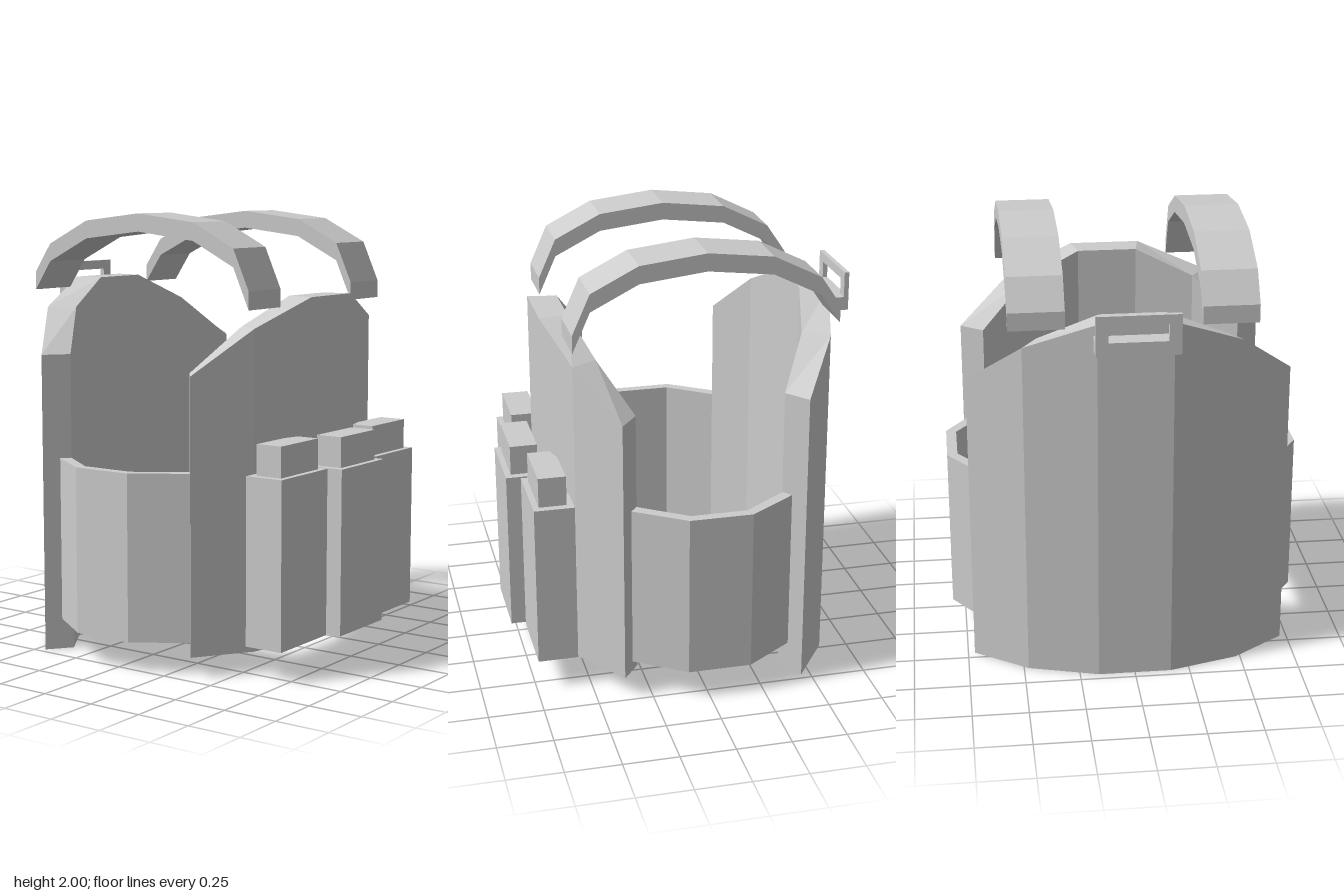
import * as THREE from 'three';

const fabric = new THREE.MeshStandardMaterial({ color: 0xcccccc, flatShading: true });
fabric.name = 'plainGrey';

// Upright wall lofted through stations [outerX, outerZ, innerX, innerZ, top, bottom]
function wallGeometry(stations) {
  const rings = stations.map(([xo, zo, xi, zi, top, bottom]) => [
    [xo, top, zo], [xo, bottom, zo], [xi, bottom, zi], [xi, top, zi],
  ]);
  const pos = [];
  const quad = (a, b, c, d) => pos.push(...a, ...b, ...c, ...a, ...c, ...d);
  for (let i = 0; i < rings.length - 1; i++) {
    for (let j = 0; j < 4; j++) {
      const k = (j + 1) % 4;
      quad(rings[i][j], rings[i][k], rings[i + 1][k], rings[i + 1][j]);
    }
  }
  quad(...[...rings[0]].reverse());
  quad(...rings[rings.length - 1]);
  const geo = new THREE.BufferGeometry();
  geo.setAttribute('position', new THREE.Float32BufferAttribute(pos, 3));
  geo.computeVertexNormals();
  return geo;
}

// Same stations seen from the other side of x = 0
const mirrorX = (s) => [...s].reverse().map(([xo, zo, xi, zi, t, b]) => [-xo, zo, -xi, zi, t, b]);

export function createModel() {
  const model = new THREE.Group();
  model.name = 'plateCarrierVest';
  const add = (name, geo, parent = model) => {
    const mesh = new THREE.Mesh(geo, fabric);
    mesh.name = name;
    parent.add(mesh);
    return mesh;
  };
  const box = (name, x0, x1, y0, y1, z0, z1, parent) =>
    add(name, new THREE.BoxGeometry(x1 - x0, y1 - y0, z1 - z0), parent)
      .position.set((x0 + x1) / 2, (y0 + y1) / 2, (z0 + z1) / 2);

  // Curved chest and back panels with sloping shoulders
  const frontHalf = [
    [0.165, 0.628, 0.14, 0.495, 1.637, 0.095],
    [0.48, 0.54, 0.41, 0.425, 1.515, 0.095],
    [0.72, 0.373, 0.615, 0.293, 1.32, 0.095],
  ];
  const backHalf = [
    [0.165, 0.712, 0.145, 0.578, 1.685, 0],
    [0.48, 0.623, 0.41, 0.51, 1.562, 0],
    [0.72, 0.457, 0.615, 0.375, 1.365, 0],
  ];
  add('frontPanel', wallGeometry([...mirrorX(frontHalf), ...frontHalf]));
  add('backPanel', wallGeometry([...mirrorX(backHalf), ...backHalf])).rotation.y = Math.PI;

  // Side bands joining the panels
  const band = [
    [0.657, 0.325, 0.617, 0.293, 0.89, 0.14],
    [0.81, 0.1, 0.763, 0.083, 0.89, 0.14],
    [0.81, -0.187, 0.763, -0.172, 0.89, 0.14],
    [0.657, -0.408, 0.615, -0.377, 0.89, 0.14],
  ];
  add('leftSideBand', wallGeometry(band));
  add('rightSideBand', wallGeometry(mirrorX(band)));

  // Arched shoulder straps: [z, y] along the upper edge, 0.08 thick
  const arch = [[0.55, 1.677], [0.47, 1.857], [0.257, 1.965], [-0.043, 2],
    [-0.337, 1.965], [-0.553, 1.857], [-0.642, 1.725]];
  const outline = [...arch, ...arch.map(([z, y]) => [z, y - 0.08]).reverse()];
  const strapShape = new THREE.Shape(outline.map(([z, y]) => new THREE.Vector2(z, y)));
  for (const [name, xMax] of [['leftStrap', 0.54], ['rightStrap', -0.295]]) {
    const geo = new THREE.ExtrudeGeometry(strapShape, { depth: 0.245, bevelEnabled: false });
    add(name, geo.rotateY(-Math.PI / 2).translate(xMax, 0, 0));
  }

  // Three front pouches, each with a narrower block on top
  for (const [name, x, z] of [['rightPouch', -0.383, 0.557], ['middlePouch', -0.003, 0.622], ['leftPouch', 0.378, 0.557]]) {
    const pouch = new THREE.Group();
    pouch.name = name;
    model.add(pouch);
    box('pouchBody', x - 0.183, x + 0.183, 0.14, 0.89, z, z + 0.182, pouch);
    box('pouchInsert', x - 0.147, x + 0.147, 0.89, 1.027, z + 0.03, z + 0.155, pouch);
  }

  // Carry handle on the back: a ledge with an upright open frame
  const handle = new THREE.Group();
  handle.name = 'carryHandle';
  model.add(handle);
  box('handleLedge', -0.182, 0.182, 1.573, 1.635, -0.782, -0.7, handle);
  const frame = new THREE.Shape([[-0.182, 1.573], [0.182, 1.573], [0.182, 1.752], [-0.182, 1.752]]
    .map(([x, y]) => new THREE.Vector2(x, y)));
  frame.holes.push(new THREE.Path([[-0.128, 1.635], [-0.128, 1.71], [0.128, 1.71], [0.128, 1.635]]
    .map(([x, y]) => new THREE.Vector2(x, y))));
  add('handleFrame', new THREE.ExtrudeGeometry(frame, { depth: 0.022, bevelEnabled: false }), handle)
    .position.z = -0.804;

  return model;
}
